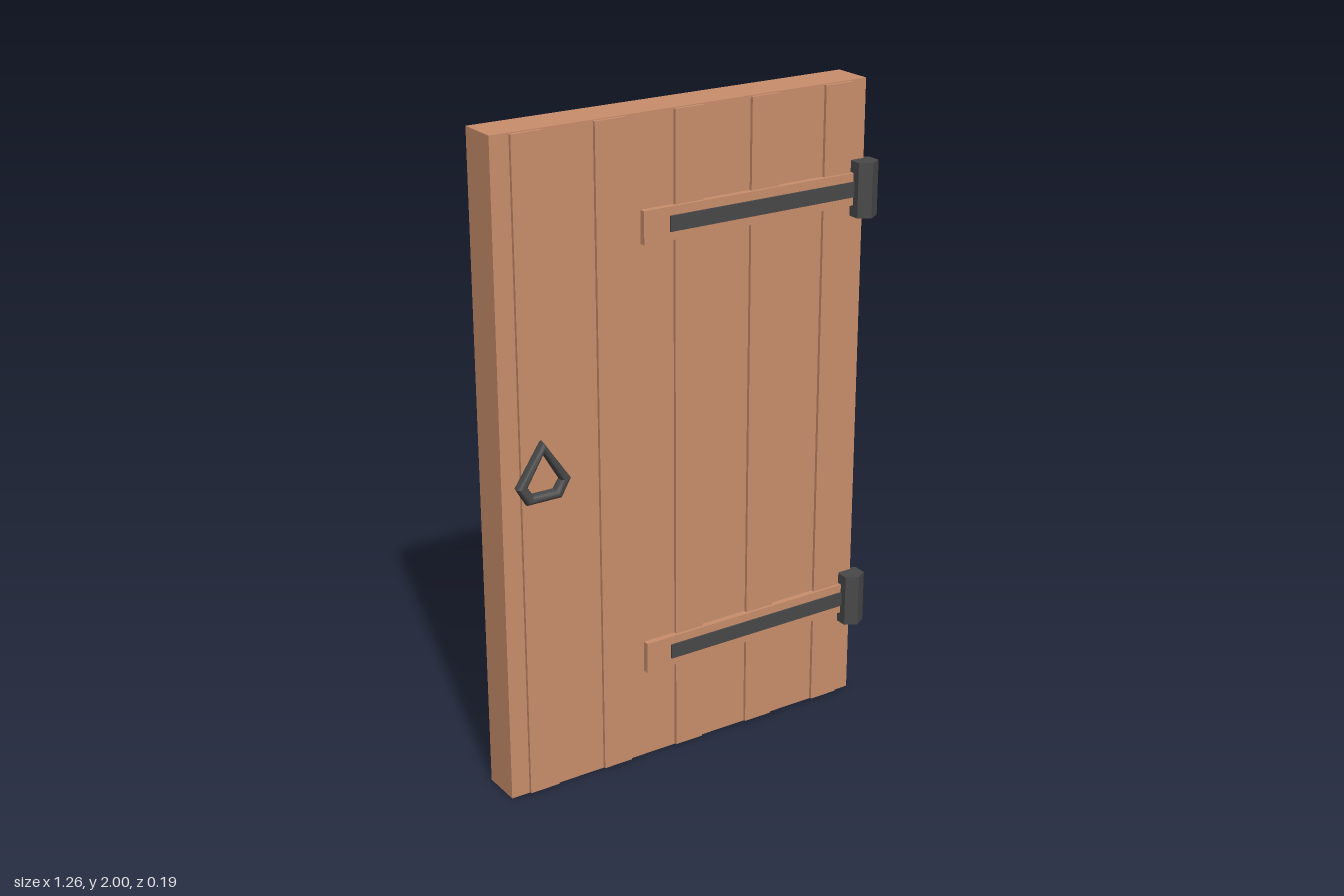
import * as THREE from 'three';
import { toCreasedNormals } from 'three/addons/utils/BufferGeometryUtils.js';

const wood = new THREE.MeshStandardMaterial({ color: 0xc98e6c });
const iron = new THREE.MeshStandardMaterial({ color: 0x484848 });

// Box given by its lower and upper corners
function box(name, material, [x0, y0, z0], [x1, y1, z1]) {
  const geometry = new THREE.BoxGeometry(x1 - x0, y1 - y0, z1 - z0);
  const mesh = new THREE.Mesh(geometry, material);
  mesh.name = name;
  mesh.position.set((x0 + x1) / 2, (y0 + y1) / 2, (z0 + z1) / 2);
  return mesh;
}

// Wooden batten, iron strap and hexagonal knuckle
function hinge(name, y) {
  const group = new THREE.Group();
  group.name = name;
  group.position.y = y;
  group.add(box('batten', wood, [-0.17, -0.049, 0.02], [0.575, 0.049, 0.05]));
  group.add(box('strap', iron, [-0.085, -0.023, 0.04], [0.59, 0.023, 0.055]));
  const knuckleMaterial = iron.clone();
  knuckleMaterial.flatShading = true;
  const knuckle = new THREE.Mesh(new THREE.CylinderGeometry(0.042, 0.042, 0.167, 6), knuckleMaterial);
  knuckle.name = 'knuckle';
  knuckle.position.set(0.593, 0, 0.052);
  group.add(knuckle);
  return group;
}

// Five-sided pull ring: a torus stretched between an inner and an outer outline
function pullRing() {
  const outer = [[0, 0.128], [-0.088, 0], [-0.056, -0.055], [0.056, -0.055], [0.088, 0]];
  const inner = [[0, 0.09], [-0.052, 0], [-0.034, -0.026], [0.034, -0.026], [0.052, 0]];
  const sides = 5, round = 12, thickness = 0.018;
  const geometry = new THREE.TorusGeometry(1, 0.5, round, sides);
  const p = geometry.attributes.position;
  for (let i = 0; i < p.count; i++) {
    const corner = (i % (sides + 1)) % sides;
    const t = Math.hypot(p.getX(i), p.getY(i)) - 0.5;
    const [ax, ay] = inner[corner], [bx, by] = outer[corner];
    p.setXYZ(i, ax + (bx - ax) * t, ay + (by - ay) * t, p.getZ(i) * 2 * thickness);
  }
  const ring = new THREE.Mesh(toCreasedNormals(geometry, 0.65), iron);
  ring.name = 'pullRing';
  ring.position.set(-0.518, 1, 0.061);
  return ring;
}

export function createModel() {
  const door = new THREE.Group();
  door.name = 'door';

  door.add(box('doorSlab', wood, [-0.634, 0, -0.096], [0.606, 2, 0.031]));

  // Raised planks on the front
  for (const x of [-0.527, -0.27, -0.013, 0.246, 0.504]) {
    door.add(box('raisedPlank', wood, [x - 0.048, 0.003, 0.02], [x + 0.048, 1.997, 0.041]));
  }

  door.add(hinge('upperHinge', 1.678), hinge('lowerHinge', 0.338));
  door.add(pullRing());
  return door;
}
